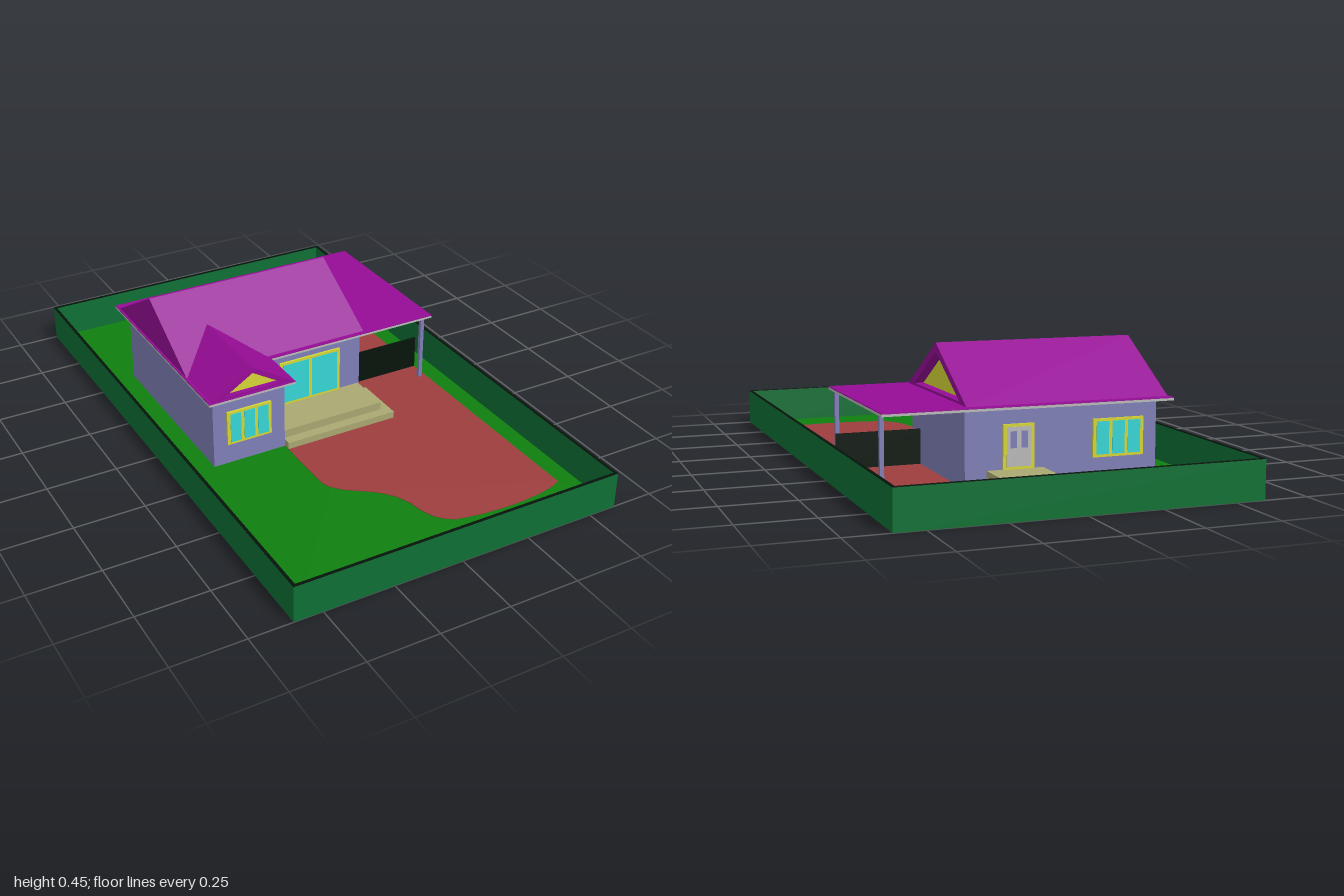
import * as THREE from 'three';

const mat = (name, color) => Object.assign(new THREE.MeshStandardMaterial({ color }), { name });

export function createModel() {
  const model = new THREE.Group();
  model.name = 'houseOnPlot';
  const M = {
    roof: mat('purple roof', 0x960c96),
    wall: mat('lavender wall', 0x8080b8),
    trim: mat('yellow trim', 0xd6d636),
    glass: mat('cyan glass', 0x36d6d6),
    grass: mat('green grass', 0x0f800f),
    drive: mat('red paving', 0x9e3e3e),
    stone: mat('beige stone', 0xaaa872),
    fence: mat('dark green fence', 0x0e7035),
    pale: mat('pale grey', 0xbababa),
    dark: mat('near black', 0x06140a),
  };

  const add = (name, geo, material, parent = model) => {
    const m = new THREE.Mesh(geo, material);
    m.name = name;
    parent.add(m);
    return m;
  };
  // Box given by its minimum and maximum corners
  const box = (name, material, x0, x1, y0, y1, z0, z1, parent = model) => {
    const m = add(name, new THREE.BoxGeometry(x1 - x0, y1 - y0, z1 - z0), material, parent);
    m.position.set((x0 + x1) / 2, (y0 + y1) / 2, (z0 + z1) / 2);
    return m;
  };
  const shapeOf = pts => new THREE.Shape(pts.map(p => new THREE.Vector2(...p)));
  const extrude = (shape, depth) =>
    new THREE.ExtrudeGeometry(shape, { depth, bevelEnabled: false, curveSegments: 8 });

  // House footprint as x, z corners
  const plan = [[-0.45, -0.552], [0.222, -0.552], [0.222, -0.015], [-0.18, -0.015], [-0.18, 0.155], [-0.45, 0.155]];

  // Lawn, left open under the house (shape y is -z)
  const lawn = shapeOf([[-0.595, -0.995], [0.595, -0.995], [0.595, 0.995], [-0.595, 0.995]]);
  lawn.holes.push(new THREE.Path(plan.map(([x, z]) => new THREE.Vector2(x, -z))));
  const lawnMesh = add('lawn', extrude(lawn, 0.002), M.grass);
  lawnMesh.rotation.x = -Math.PI / 2;
  lawnMesh.position.y = 0.001;

  // Driveway with a curved front edge
  const drive = new THREE.Shape();
  drive.moveTo(0.225, 0.995);
  drive.lineTo(0.225, 0.01);
  drive.lineTo(0.225, -0.1);
  drive.lineTo(-0.178, -0.1);
  drive.lineTo(-0.178, -0.42);
  drive.bezierCurveTo(-0.16, -0.52, -0.02, -0.52, 0.02, -0.66);
  drive.bezierCurveTo(0.03, -0.73, 0.04, -0.78, 0.1, -0.81);
  drive.bezierCurveTo(0.2, -0.84, 0.42, -0.85, 0.525, -0.8);
  drive.lineTo(0.525, 0.995);
  const driveMesh = add('driveway', extrude(drive, 0.005), M.drive);
  driveMesh.rotation.x = -Math.PI / 2;

  // Perimeter fence with dark top rim, and the side gate
  const fence = new THREE.Group();
  fence.name = 'fence';
  model.add(fence);
  for (const [x0, x1, z0, z1] of [
    [-0.6, 0.6, 0.99, 1], [-0.6, 0.6, -1, -0.99],
    [-0.6, -0.59, -0.99, 0.99], [0.59, 0.6, -0.99, 0.99],
  ]) {
    box('fencePanel', M.fence, x0, x1, 0, 0.13, z0, z1, fence);
    box('fenceRim', M.dark, x0, x1, 0.13, 0.132, z0, z1, fence);
  }
  box('sideGate', M.dark, 0.222, 0.525, 0.003, 0.128, -0.105, -0.097, fence);

  // Outer walls, one thin panel for each side of the footprint
  const t = 0.002;
  plan.forEach(([ax, az], i) => {
    const [bx, bz] = plan[(i + 1) % plan.length];
    box('wall', M.wall, Math.min(ax, bx) - t, Math.max(ax, bx) + t, 0, 0.267,
      Math.min(az, bz) - t, Math.max(az, bz) + t);
  });

  // Eaves slab with a roof sheet on top
  for (const [x0, x1, z0, z1] of [[-0.477, 0.52, -0.63, 0.01], [-0.477, -0.152, 0.01, 0.19]]) {
    box('eavesSlab', M.pale, x0, x1, 0.266, 0.274, z0, z1);
    box('eavesSheet', M.roof, x0, x1, 0.274, 0.277, z0, z1);
  }
  for (const z of [-0.025, -0.56]) box('carportPost', M.wall, 0.494, 0.508, 0, 0.266, z - 0.007, z + 0.007);

  // Gable roof: a thick chevron along +z with recessed gable boards
  const gableRoof = (name, half, rise, thick, length, frontIn, backMaterial) => {
    const g = new THREE.Group();
    g.name = name;
    const inHalf = half * (1 - thick / rise);
    add('roofSlopes', extrude(shapeOf([[-half, 0], [-inHalf, 0], [0, rise - thick], [inHalf, 0], [half, 0], [0, rise]]), length), M.roof, g);
    const tri = () => extrude(shapeOf([[-inHalf, 0], [inHalf, 0], [0, rise - thick]]), 0.006);
    add('gableBoard', tri(), M.trim, g).position.z = length - frontIn;
    if (backMaterial) add('backGable', tri(), backMaterial, g);
    box('gableSill', M.roof, -inHalf, inHalf, 0, 0.009, length - frontIn, length - 0.001, g);
    model.add(g);
    return g;
  };
  const mainRoof = gableRoof('mainRoof', 0.298, 0.174, 0.03, 0.705, 0.04, M.roof);
  mainRoof.rotation.y = Math.PI / 2;
  mainRoof.position.set(-0.47, 0.276, -0.303);
  const wingRoof = gableRoof('wingRoof', 0.156, 0.095, 0.02, 0.35, 0.025, null);
  wingRoof.position.set(-0.312, 0.276, -0.165);

  // Two-tier stone steps
  box('frontStepLower', M.stone, -0.178, 0.255, 0, 0.03, -0.013, 0.185);
  box('frontStepUpper', M.stone, -0.178, 0.22, 0.03, 0.06, -0.013, 0.148);
  box('backStepLower', M.stone, -0.08, 0.15, 0, 0.03, -0.735, -0.554);
  box('backStepUpper', M.stone, -0.045, 0.15, 0.03, 0.06, -0.705, -0.554);

  // Window: trim plate with thin panes in front; dir is +1 facing front, -1 facing back
  const opening = (name, x0, x1, y0, y1, z, dir, panes, paneMaterial, gap = 0.012) => {
    const g = new THREE.Group();
    g.name = name;
    const w = (x1 - x0 - gap * (panes + 1)) / panes;
    const slab = (n, m, a, b, c, d, near, far) =>
      box(n, m, a, b, c, d, Math.min(z + dir * near, z + dir * far), Math.max(z + dir * near, z + dir * far), g);
    slab('frame', M.trim, x0, x1, y0, y1, 0, 0.009);
    for (let i = 0; i < panes; i++) {
      const a = x0 + gap + i * (w + gap);
      slab('pane', paneMaterial, a, a + w, y0 + 0.009, y1 - 0.009, 0.009, 0.0105);
    }
    model.add(g);
    return slab;
  };
  opening('wingWindow', -0.402, -0.233, 0.08, 0.208, 0.156, 1, 3, M.glass);
  opening('livingRoomWindow', -0.108, 0.137, 0.06, 0.232, -0.014, 1, 2, M.glass);
  opening('backWindow', -0.402, -0.22, 0.08, 0.208, -0.553, -1, 3, M.glass);
  const doorSlab = opening('backDoor', -0.012, 0.096, 0.06, 0.208, -0.553, -1, 1, M.pale);
  for (const x of [0.012, 0.05]) doorSlab('doorLight', M.wall, x, x + 0.022, 0.13, 0.185, 0.0105, 0.012);

  return model;
}
